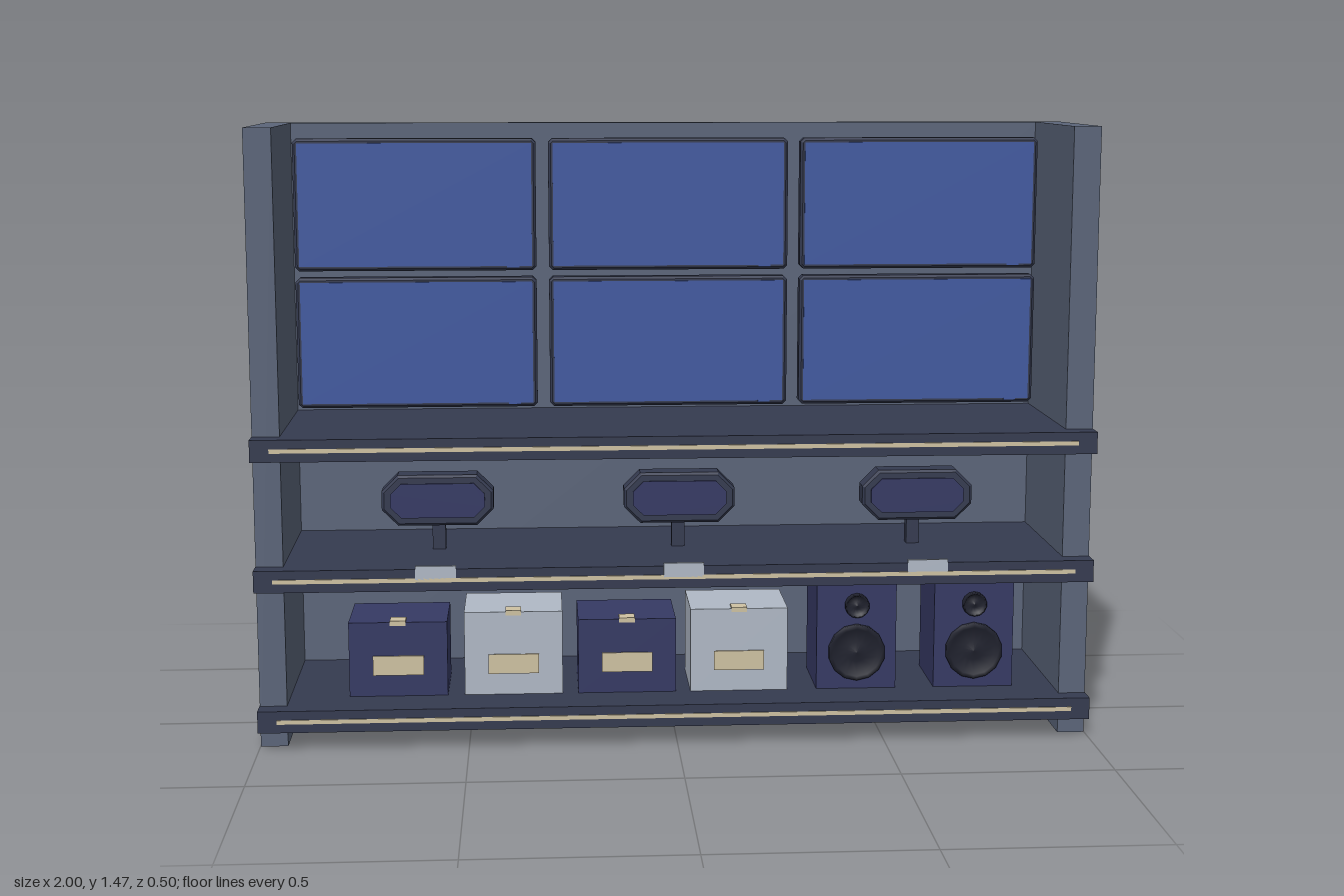
import * as THREE from 'three';

const mat = (name, color) => {
  const m = new THREE.MeshStandardMaterial({ color });
  m.name = name;
  return m;
};

export function createModel() {
  const root = new THREE.Group();
  root.name = 'displayWall';

  const frame = mat('slate frame', 0x5b6579);
  const dark = mat('dark shelf', 0x353b50);
  const glass = mat('blue screen', 0x4159a0);
  const navy = mat('navy', 0x363a64);
  const pale = mat('pale grey', 0xb0b9c6);
  const cream = mat('cream', 0xcfc2a2);
  const black = mat('speaker black', 0x20222e);

  const add = (parent, name, geo, material, x, y, z) => {
    const mesh = new THREE.Mesh(geo, material);
    mesh.name = name;
    mesh.position.set(x, y, z);
    parent.add(mesh);
    return mesh;
  };
  const box = (parent, name, material, w, h, d, x, y, z) =>
    add(parent, name, new THREE.BoxGeometry(w, h, d), material, x, y, z);
  const group = (name, x, y, z) => {
    const g = new THREE.Group();
    g.name = name;
    g.position.set(x, y, z);
    root.add(g);
    return g;
  };

  // Rectangle with cut corners, extruded from z = 0 to z = d with chamfered edges
  const cutPlate = (w, h, cut, d, bevel = 0) => {
    const a = w / 2 - bevel, b = h / 2 - bevel;
    const shape = new THREE.Shape([
      [-a + cut, -b], [a - cut, -b], [a, -b + cut], [a, b - cut],
      [a - cut, b], [-a + cut, b], [-a, b - cut], [-a, -b + cut],
    ].map(([x, y]) => new THREE.Vector2(x, y)));
    return new THREE.ExtrudeGeometry(shape, {
      depth: d - 2 * bevel, bevelEnabled: bevel > 0,
      bevelSize: bevel, bevelThickness: bevel, bevelSegments: 1,
    }).translate(0, 0, bevel);
  };

  // Cabinet shell, open at the front, top and bottom
  const H = 1.472;
  box(root, 'backPanel', frame, 1.88, H, 0.035, 0, H / 2, -0.2305);
  for (const s of [-1, 1])
    box(root, 'sidePanel', frame, 0.065, H, 0.449, s * 0.9665, H / 2, -0.0235);

  // Shelves wrap slightly outside the shell and carry a light strip
  for (const y of [0.073, 0.414, 0.726]) {
    box(root, 'shelf', dark, 2, 0.053, 0.497, 0, y, -0.001);
    box(root, 'lightStrip', cream, 1.91, 0.01, 0.004, 0, y, 0.248);
  }

  // Wall of six screens
  for (const y of [1.273, 0.931])
    for (const x of [-0.626, 0, 0.626]) {
      const g = group('wallScreen', x, y, -0.175);
      add(g, 'bezel', cutPlate(0.595, 0.325, 0.006, 0.045, 0.006), dark, 0, 0, 0);
      box(g, 'screen', glass, 0.573, 0.303, 0.004, 0, 0, 0.045);
      box(g, 'indicator', glass, 0.03, 0.005, 0.003, 0.24, -0.153, 0.045);
      box(g, 'wallMount', dark, 0.14, 0.12, 0.04, 0, 0, -0.018);
    }

  // Small monitors on stands, each with a tag on the shelf edge
  for (const x of [-0.573, 0.014, 0.598]) {
    const g = group('smallMonitor', x, 0.44, 0);
    add(g, 'monitorBody', cutPlate(0.27, 0.124, 0.036, 0.065, 0.006), dark, 0, 0.133, 0.02);
    add(g, 'monitorScreen', cutPlate(0.228, 0.084, 0.026, 0.006), navy, 0, 0.133, 0.083);
    box(g, 'stand', dark, 0.032, 0.13, 0.03, 0, 0.065, 0.01);
    box(g, 'shelfTag', pale, 0.096, 0.034, 0.009, 0, -0.009, 0.2455);
  }

  // Storage boxes with a label and a lid tab
  const base = 0.099;
  [[-0.672, 0.184, navy], [-0.393, 0.206, pale], [-0.117, 0.184, navy], [0.157, 0.206, pale]]
    .forEach(([x, h, material]) => {
      const g = group('storageBox', x, base, 0.03);
      box(g, 'boxBody', material, 0.238, h, 0.2, 0, h / 2, 0);
      box(g, 'boxLabel', cream, 0.123, 0.048, 0.006, 0, 0.077, 0.101);
      box(g, 'lidTab', cream, 0.038, 0.012, 0.04, 0, h - 0.002, 0.083);
    });

  // Loudspeakers with a tweeter above a woofer
  const driver = (parent, name, r, y) => {
    const profile = [[r, 0], [r, 0.012], [r * 0.85, 0.014], [r * 0.75, 0.006], [r * 0.35, 0.004], [0, 0.011]]
      .map(([a, b]) => new THREE.Vector2(a, b));
    add(parent, name, new THREE.LatheGeometry(profile, 14), black, 0, y, 0.1).rotation.x = Math.PI / 2;
  };
  // Lathe profiles run from the rim inwards so the faces point outwards
  for (const x of [0.446, 0.736]) {
    const g = group('loudspeaker', x, base, 0.028);
    box(g, 'speakerCabinet', navy, 0.196, 0.272, 0.2, 0, 0.136, 0);
    driver(g, 'tweeter', 0.03, 0.21);
    driver(g, 'woofer', 0.07, 0.093);
  }

  return root;
}
